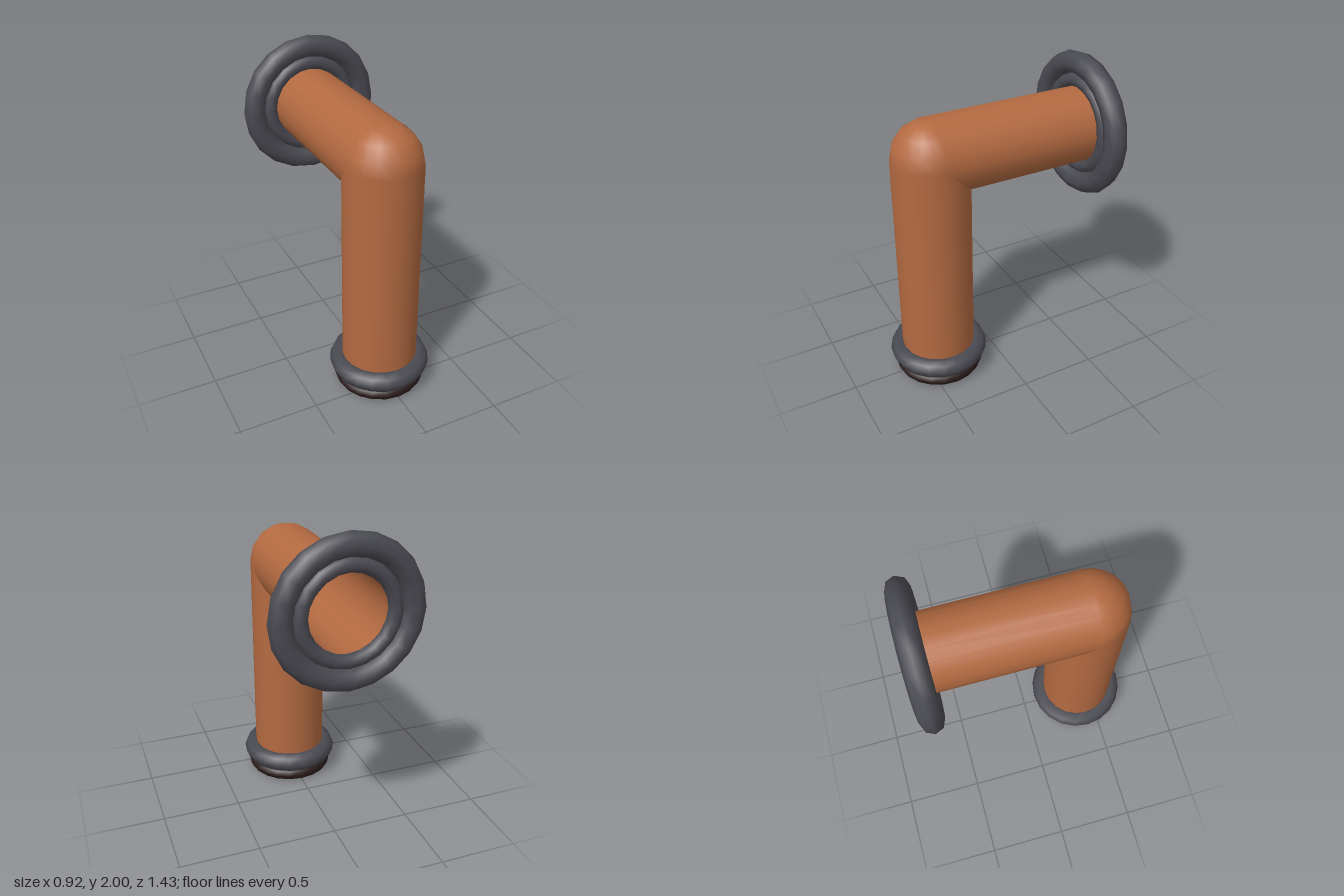
import * as THREE from 'three';

const R = 0.24, BEND_Y = 1.54, BEND_Z = 0.395, BACK_Z = -0.64;

export function createModel() {
  const group = new THREE.Group();
  const mat = (name, color, side = THREE.FrontSide) => {
    const m = new THREE.MeshStandardMaterial({ color, side });
    m.name = name;
    return m;
  };
  const copper = mat('copper', 0xb36a41, THREE.DoubleSide);
  const iron = mat('dark iron', 0x4a4a52);
  const rubber = mat('dark rim', 0x2b1b1a);
  const slime = mat('green slime', 0x86b540, THREE.DoubleSide);

  const add = (name, geometry, material, x, y, z) => {
    const mesh = new THREE.Mesh(geometry, material);
    mesh.name = name;
    mesh.position.set(x, y, z);
    group.add(mesh);
    return mesh;
  };
  const ring = (name, major, tube, material, y, z, flat) => {
    const geometry = new THREE.TorusGeometry(major, tube, 8, 20);
    if (flat) geometry.rotateX(Math.PI / 2);
    return add(name, geometry, material, 0, y, z);
  };

  // Open pipes meeting at a ball-shaped elbow
  const foot = 0.05;
  add('verticalPipe', new THREE.CylinderGeometry(R, R, BEND_Y - foot, 20, 1, true),
    copper, 0, (BEND_Y + foot) / 2, BEND_Z);
  const length = BEND_Z - BACK_Z;
  add('horizontalPipe', new THREE.CylinderGeometry(R, R, length, 20, 1, true).rotateX(Math.PI / 2),
    copper, 0, BEND_Y, (BEND_Z + BACK_Z) / 2);
  add('elbow', new THREE.SphereGeometry(R, 20, 8), copper, 0, BEND_Y, BEND_Z);

  // Wall flange: a wide ring around a slimmer one
  ring('wallFlange', 0.39, 0.072, iron, BEND_Y, BACK_Z, false);
  ring('innerFlange', 0.28, 0.046, iron, BEND_Y, BACK_Z, false);

  // Mouth of the pipe
  ring('mouthCollar', 0.257, 0.064, iron, 0.143, BEND_Z, true);
  ring('mouthRim', 0.248, 0.042, rubber, 0.042, BEND_Z, true);

  // Slime just inside the mouth
  add('slimeSurface', new THREE.CircleGeometry(0.215, 20).rotateX(Math.PI / 2), slime, 0, 0.1, BEND_Z);
  add('slimeWall', new THREE.CylinderGeometry(0.215, 0.215, 0.05, 20, 1, true), slime, 0, 0.075, BEND_Z);

  return group;
}
